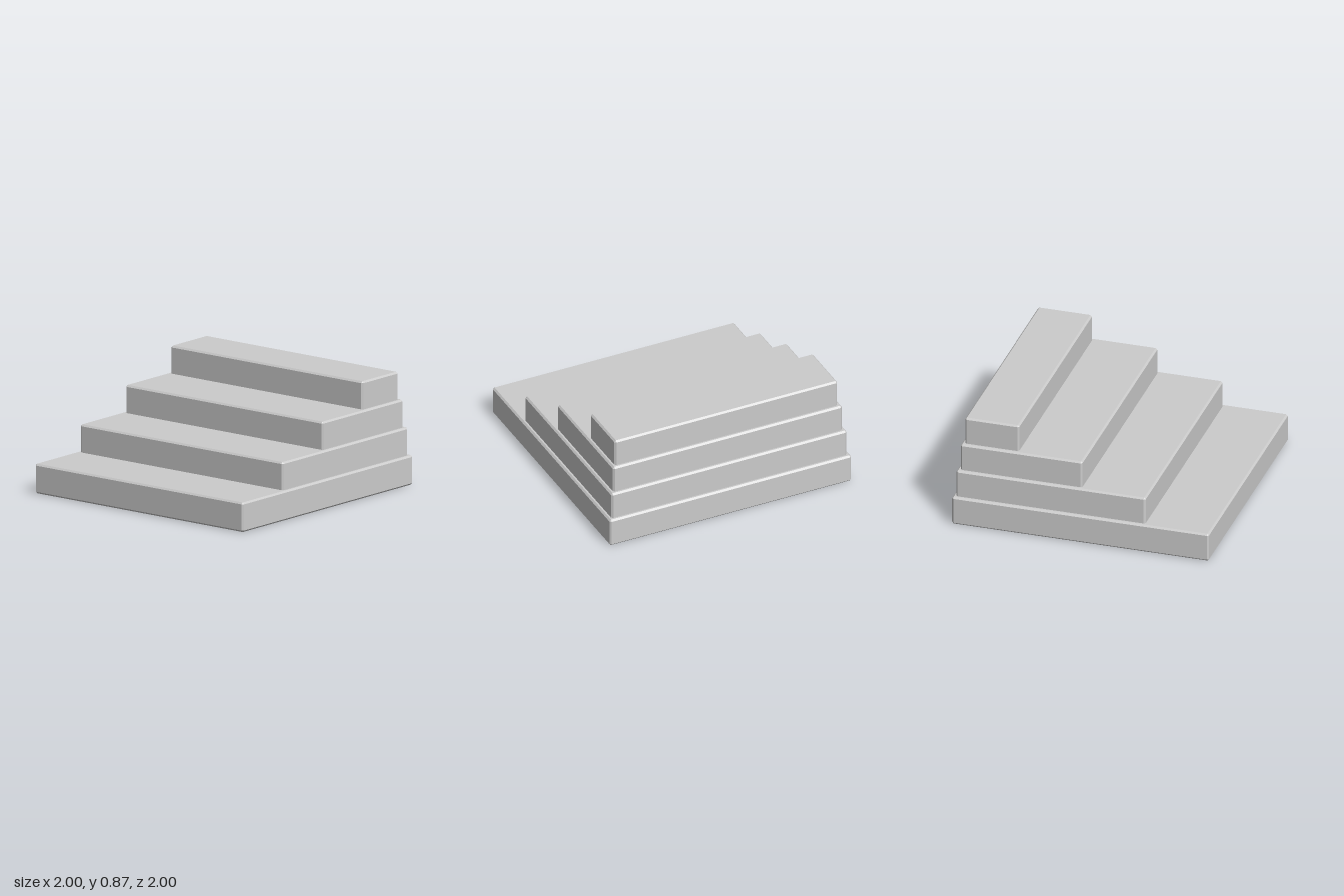
import * as THREE from 'three';
import { ConvexGeometry } from 'three/addons/geometries/ConvexGeometry.js';

// Box with every edge cut by one flat chamfer c
function chamferedBox(w, h, d, c) {
  const points = [];
  for (const sx of [-1, 1]) for (const sy of [-1, 1]) for (const sz of [-1, 1]) {
    for (const [a, b, e] of [[0, c, c], [c, 0, c], [c, c, 0]]) {
      points.push(new THREE.Vector3(sx * (w / 2 - a), sy * (h / 2 - b), sz * (d / 2 - e)));
    }
  }
  return new ConvexGeometry(points);
}

export function createModel() {
  const group = new THREE.Group();
  group.name = 'staircase';
  const material = new THREE.MeshStandardMaterial({ color: 0xcccccc, flatShading: true });

  const count = 4, rise = 0.213, chamfer = 0.013, inset = 0.026, tread = 0.5;
  const height = rise + chamfer; // each slab sinks its lower chamfer into the one below

  // Stacked slabs, each shorter in front and slightly inset at the sides and back
  for (let i = 0; i < count; i++) {
    const front = 1 - tread * i;
    const back = -1 + inset * i;
    const slab = new THREE.Mesh(
      chamferedBox(2 - 2 * inset * i, height, front - back, chamfer), material);
    slab.position.set(0, rise * i + height / 2, (front + back) / 2);
    slab.name = `step${i + 1}`;
    group.add(slab);
  }
  return group;
}
